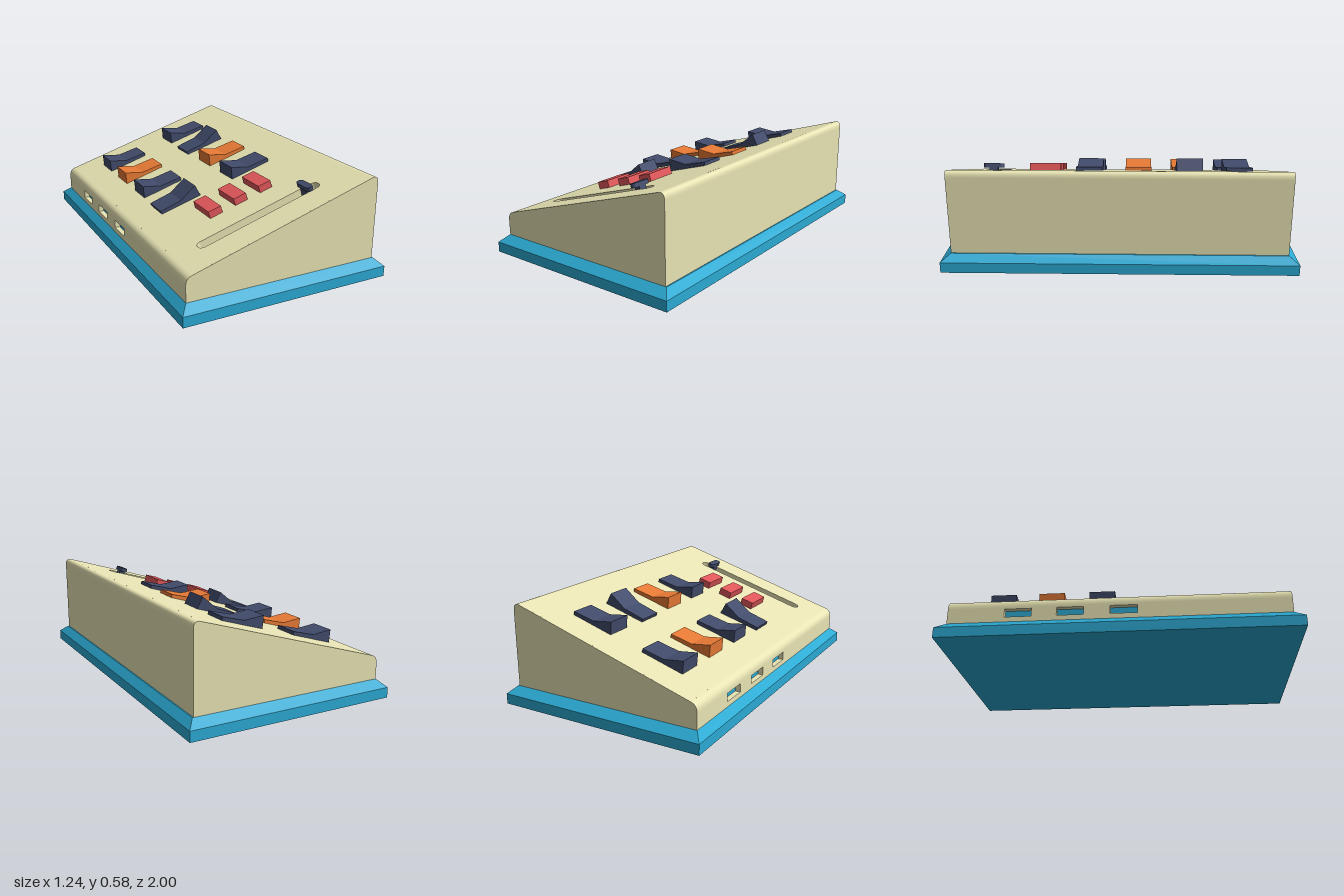
import * as THREE from 'three';
import { ConvexGeometry } from 'three/addons/geometries/ConvexGeometry.js';

const mat = (color) => new THREE.MeshStandardMaterial({ color, side: THREE.DoubleSide });
const SLOPE = Math.atan(0.3103);

function add(parent, name, geometry, material, x = 0, y = 0, z = 0) {
  const mesh = new THREE.Mesh(geometry, material);
  mesh.name = name;
  mesh.position.set(x, y, z);
  parent.add(mesh);
  return mesh;
}

const extrude = (shape, depth) =>
  new THREE.ExtrudeGeometry(shape, { depth, bevelEnabled: false, curveSegments: 10 });

function rect(Type, x0, y0, x1, y1) {
  const p = new Type();
  p.moveTo(x0, y0).lineTo(x1, y0).lineTo(x1, y1).lineTo(x0, y1).closePath();
  return p;
}

// Slot outline running along x, with round ends
function stadium(Type, x0, x1, y, r) {
  const p = new Type();
  p.moveTo(x0 + r, y - r).lineTo(x1 - r, y - r);
  p.absarc(x1 - r, y, r, -Math.PI / 2, Math.PI / 2, false);
  p.lineTo(x0 + r, y + r);
  p.absarc(x0 + r, y, r, Math.PI / 2, Math.PI * 1.5, false);
  return p;
}

// Smooth wall: a 2D path swept straight along z
function strip(points, halfZ) {
  const pos = [], index = [];
  points.forEach((p, i) => {
    pos.push(p.x, p.y, -halfZ, p.x, p.y, halfZ);
    if (i) {
      const a = 2 * i - 2;
      index.push(a, a + 2, a + 3, a, a + 3, a + 1);
    }
  });
  const g = new THREE.BufferGeometry();
  g.setAttribute('position', new THREE.Float32BufferAttribute(pos, 3));
  g.setIndex(index);
  g.computeVertexNormals();
  return g;
}

export function createModel() {
  const model = new THREE.Group();
  model.name = 'switchConsole';
  const cream = mat(0xe8e4b4), blue = mat(0x2baad3), navy = mat(0x414b6b);
  const orange = mat(0xe87a35), red = mat(0xe2575a);

  // Base plate with a chamfered rim
  const corners = [];
  for (const [x, y, z] of [[0.62, 0, 1], [0.62, 0.06, 1], [0.577, 0.1, 0.945]])
    for (const sx of [-1, 1]) for (const sz of [-1, 1])
      corners.push(new THREE.Vector3(sx * x, y, sz * z));
  add(model, 'basePlate', new ConvexGeometry(corners), blue);

  // Housing: wedge-shaped end plates
  const housing = new THREE.Group();
  housing.name = 'housing';
  model.add(housing);
  const wedge = new THREE.Shape();
  wedge.moveTo(-0.577, 0.1).lineTo(0.57, 0.1).lineTo(0.57, 0.54);
  wedge.quadraticCurveTo(0.57, 0.587, 0.53, 0.575).lineTo(-0.54, 0.243);
  wedge.quadraticCurveTo(-0.577, 0.232, -0.577, 0.19).closePath();
  add(housing, 'frontEnd', extrude(wedge, 0.01), cream, 0, 0, 0.935);
  add(housing, 'backEnd', extrude(wedge, 0.01), cream, 0, 0, -0.945);

  // Tall wall and the two rounded edges
  const tall = new THREE.Path();
  tall.moveTo(0.57, 0.1).lineTo(0.57, 0.54).quadraticCurveTo(0.57, 0.587, 0.53, 0.575);
  add(housing, 'tallWall', strip(tall.getPoints(10), 0.94), cream);
  const low = new THREE.Path();
  low.moveTo(-0.54, 0.243).quadraticCurveTo(-0.577, 0.232, -0.577, 0.19);
  add(housing, 'lowEdge', strip(low.getPoints(10), 0.94), cream);

  // Low wall with three port openings and the sockets behind them
  const lowWall = rect(THREE.Shape, -0.94, 0.1, 0.94, 0.19);
  for (const z of [-0.55, -0.26, 0.035]) {
    lowWall.holes.push(rect(THREE.Path, z - 0.075, 0.13, z + 0.075, 0.178));
    add(model, 'portSocket', new THREE.BoxGeometry(0.01, 0.07, 0.18), blue, -0.542, 0.154, z);
  }
  const lowGeo = extrude(lowWall, 0.03);
  lowGeo.rotateY(-Math.PI / 2).translate(-0.547, 0, 0);
  add(housing, 'lowWall', lowGeo, cream);

  // Sloped control panel: local x runs up the slope, local y is its normal
  const panel = new THREE.Group();
  panel.name = 'controlPanel';
  panel.position.y = 0.4106;
  panel.rotation.z = SLOPE;
  model.add(panel);
  const along = (x) => x / Math.cos(SLOPE);

  const top = rect(THREE.Shape, along(-0.54), -0.94, along(0.53), 0.94);
  top.holes.push(stadium(THREE.Path, -0.43, 0.345, -0.74, 0.033));
  const topGeo = extrude(top, 0.06);
  topGeo.rotateX(-Math.PI / 2).translate(0, -0.06, 0);
  add(panel, 'topPlate', topGeo, cream);
  add(panel, 'sliderTrackFloor', new THREE.BoxGeometry(0.82, 0.01, 0.1), cream, -0.04, -0.065, 0.74);

  // Rocker switches, two columns of four; two are pressed the other way
  const rocker = (dir) => {
    const pts = [[-0.13, -0.03], [0.13, -0.03], [0.137, 0.02], [0, 0.025], [-0.109, 0.072]];
    const s = new THREE.Shape(pts.map(([x, y]) => new THREE.Vector2(dir * x, y)));
    return extrude(s, 0.15).translate(0, 0, -0.075);
  };
  [-0.685, -0.4, -0.105, 0.18].forEach((z, row) => {
    [-0.267, 0.18].forEach((x, col) => {
      const flipped = (col === 0 && row === 3) || (col === 1 && row === 1);
      const bright = (col === 0 && row === 1) || (col === 1 && row === 2);
      add(panel, 'rockerSwitch', rocker(flipped ? -1 : 1), bright ? orange : navy, along(x), 0, z);
    });
  });

  // Push buttons
  for (const x of [-0.197, -0.04, 0.117])
    add(panel, 'pushButton', new THREE.BoxGeometry(0.08, 0.08, 0.185), red, along(x), 0.002, 0.453);

  // Slider knob: stem in the track and a rounded cap across it
  const knob = new THREE.Group();
  knob.name = 'sliderKnob';
  knob.position.set(along(0.248), 0, 0.74);
  panel.add(knob);
  add(knob, 'stem', new THREE.BoxGeometry(0.035, 0.08, 0.05), navy, 0, -0.022, 0);
  const cap = extrude(stadium(THREE.Shape, -0.06, 0.06, 0, 0.021), 0.024);
  cap.rotateX(-Math.PI / 2).rotateY(Math.PI / 2);
  add(knob, 'cap', cap, navy, 0, 0.014, 0);

  return model;
}
